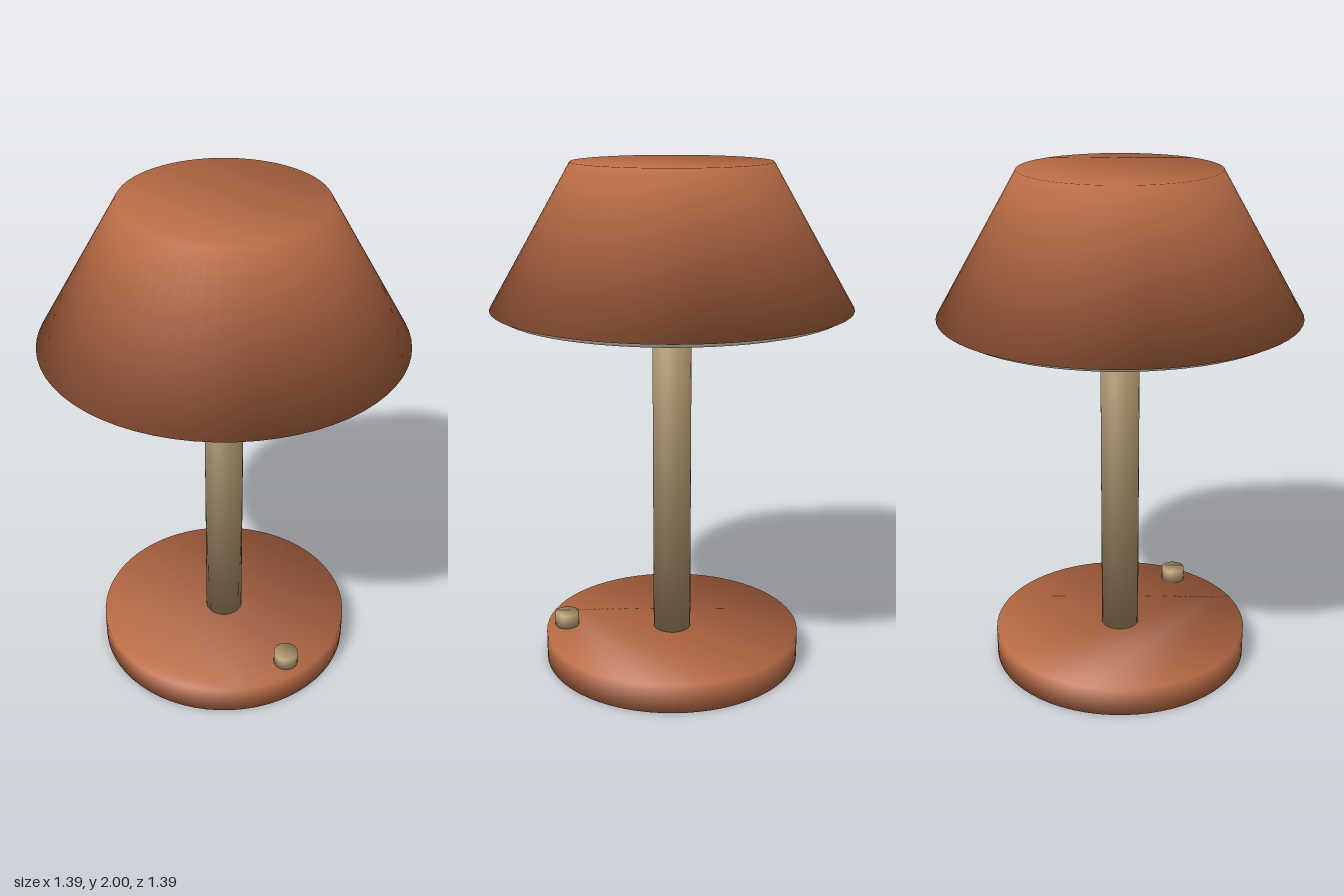
import * as THREE from 'three';

// Closed disc, post or cone whose rim normals blend the wall and the caps
function softCylinder(rTop, rBottom, yBottom, yTop, sides = 64) {
  const positions = [], normals = [], index = [];
  const wall = new THREE.Vector2(yTop - yBottom, rBottom - rTop).normalize();
  for (const [r, y, up] of [[rBottom, yBottom, -1], [rTop, yTop, 1]]) {
    const n = new THREE.Vector2(wall.x, wall.y + up).normalize();
    for (let i = 0; i < sides; i++) {
      const a = (i / sides) * Math.PI * 2, s = Math.sin(a), c = Math.cos(a);
      positions.push(r * s, y, r * c);
      normals.push(n.x * s, n.y, n.x * c);
    }
  }
  for (let i = 0; i < sides; i++) {
    const j = (i + 1) % sides;
    index.push(i, j, sides + j, i, sides + j, sides + i);
    if (i > 0 && i < sides - 1) index.push(0, j, i, sides, sides + i, sides + j);
  }
  const geometry = new THREE.BufferGeometry();
  geometry.setAttribute('position', new THREE.Float32BufferAttribute(positions, 3));
  geometry.setAttribute('normal', new THREE.Float32BufferAttribute(normals, 3));
  geometry.setIndex(index);
  return geometry;
}

function material(name, color) {
  const m = new THREE.MeshStandardMaterial({ color });
  m.name = name;
  return m;
}

export function createModel() {
  const group = new THREE.Group();
  group.name = 'tableLamp';
  const terracotta = material('terracotta', 0xb96b45);
  const brass = material('brass', 0xb1986f);
  const cream = material('cream', 0xdccfba);

  const add = (name, geometry, mat, x = 0, z = 0) => {
    const mesh = new THREE.Mesh(geometry, mat);
    mesh.name = name;
    mesh.position.set(x, 0, z);
    group.add(mesh);
  };

  // Foot, post and switch
  add('base', softCylinder(0.517, 0.517, 0, 0.114), terracotta);
  add('stem', softCylinder(0.076, 0.076, 0.11, 1.47, 32), brass);
  add('switchKnob', softCylinder(0.049, 0.049, 0.11, 0.17, 24), brass, 0.197, 0.388);

  // Shade with a pale diffuser plate under it
  add('shade', softCylinder(0.38, 0.695, 1.457, 2), terracotta);
  add('diffuser', softCylinder(0.66, 0.66, 1.439, 1.47), cream);
  return group;
}
